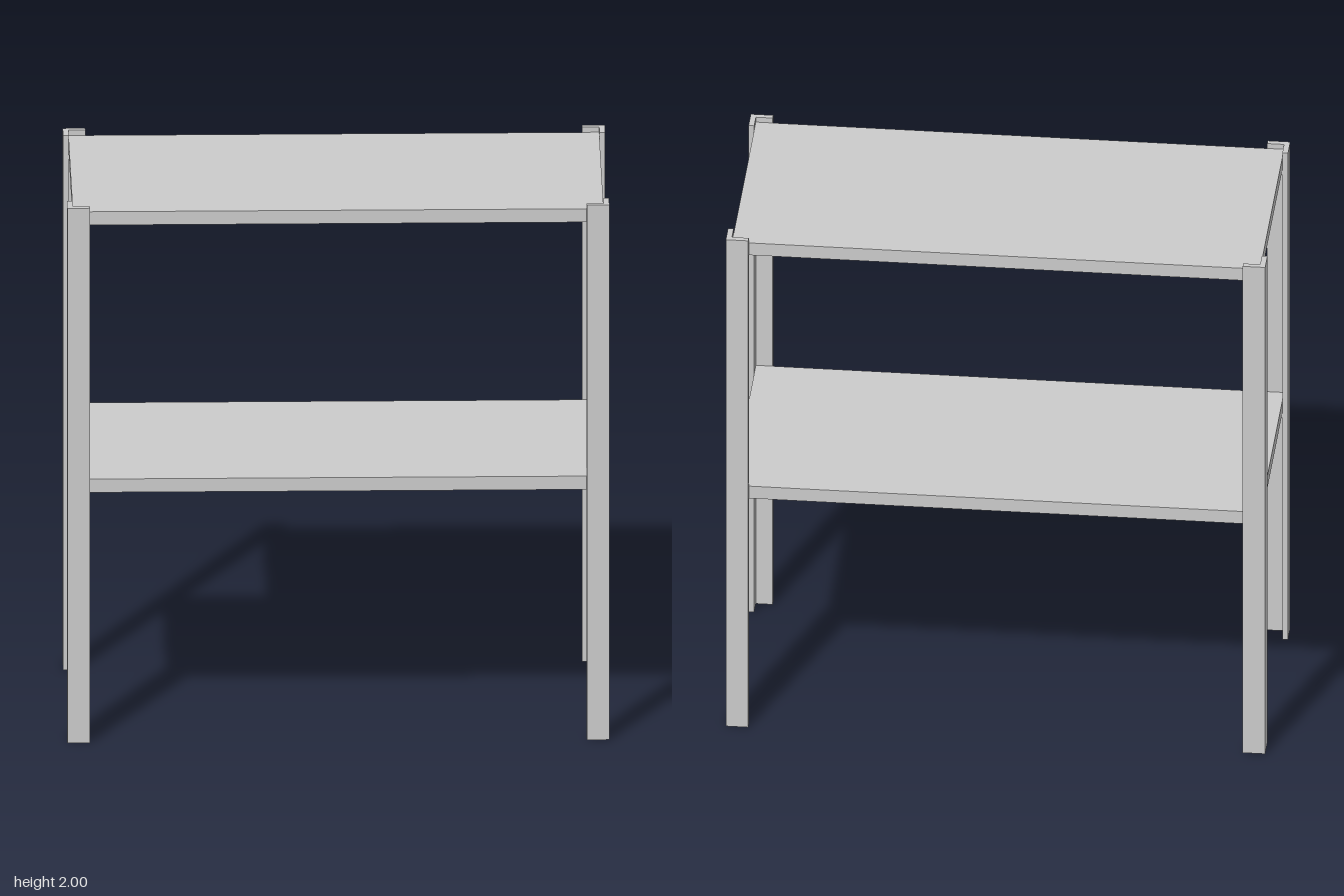
import * as THREE from 'three';

const material = new THREE.MeshStandardMaterial({ color: 0xcccccc, flatShading: true });

// Upright L-section: outer corner at the origin, arms along -x and -z
function angleGeometry(arm, thickness, height) {
  const s = new THREE.Shape([
    [0, 0], [-arm, 0], [-arm, thickness], [-thickness, thickness], [-thickness, arm], [0, arm],
  ].map(([x, y]) => new THREE.Vector2(x, y)));
  const g = new THREE.ExtrudeGeometry(s, { depth: height, bevelEnabled: false });
  return g.rotateX(-Math.PI / 2);
}

export function createModel() {
  const group = new THREE.Group();
  const add = (geometry, name, x, y, z, turn = 0) => {
    const mesh = new THREE.Mesh(geometry, material);
    mesh.name = name;
    mesh.position.set(x, y, z);
    mesh.rotation.y = turn;
    group.add(mesh);
  };

  const shelfBottoms = [0.93, 1.93];
  const shelf = new THREE.BoxGeometry(1.88, 0.05, 0.84);
  const leg = angleGeometry(0.08, 0.02, 2);
  const bracket = angleGeometry(0.06, 0.01, 0.02);

  // Shelves
  shelfBottoms.forEach((y, i) => add(shelf, i ? 'upperShelf' : 'lowerShelf', 0, y + 0.025, 0));

  // Angle-iron legs, with a small bracket under each shelf corner
  const corners = [
    ['frontLeft', 1, 1, 0],
    ['backLeft', 1, -1, Math.PI / 2],
    ['backRight', -1, -1, Math.PI],
    ['frontRight', -1, 1, -Math.PI / 2],
  ];
  for (const [name, sx, sz, turn] of corners) {
    add(leg, name + 'Leg', sx * 0.96, 0, sz * 0.44, turn);
    for (const y of shelfBottoms) {
      add(bracket, name + 'Bracket', sx * 0.94, y - 0.02, sz * 0.42, turn);
    }
  }
  return group;
}
